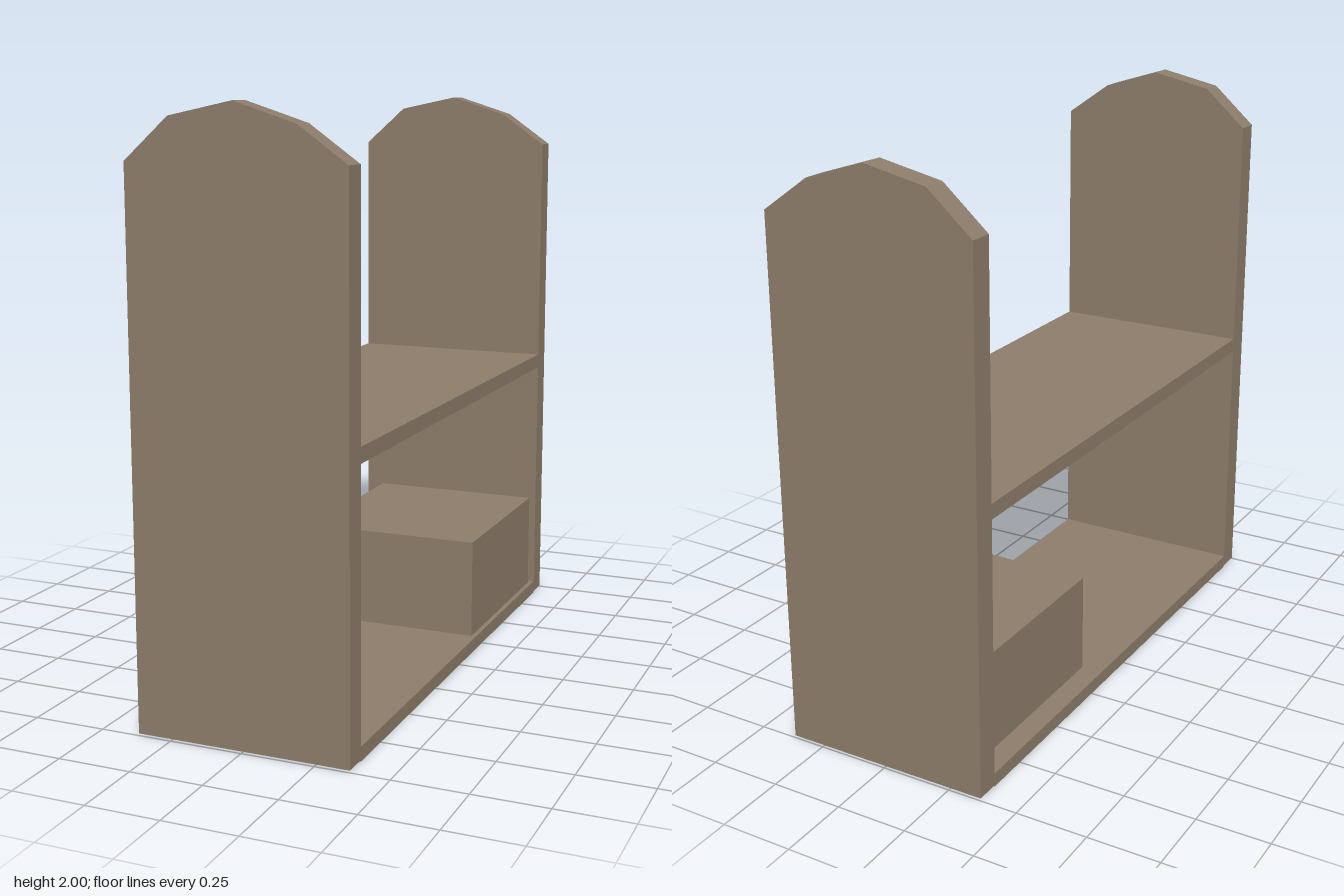
import * as THREE from 'three';

const wood = new THREE.MeshStandardMaterial({ color: 0x8c7c6a, flatShading: true });

const W = 0.735;          // width of the shelf unit (x)
const OUTER = 0.995;      // outer face of the end panels (z)
const PANEL = 0.085;      // end panel thickness

function add(group, name, geometry, x, y, z) {
  const mesh = new THREE.Mesh(geometry, wood);
  mesh.name = name;
  mesh.position.set(x, y, z);
  group.add(mesh);
}

// Box given by its lower and upper corners
function addBox(group, name, [x0, y0, z0], [x1, y1, z1]) {
  add(group, name, new THREE.BoxGeometry(x1 - x0, y1 - y0, z1 - z0),
    (x0 + x1) / 2, (y0 + y1) / 2, (z0 + z1) / 2);
}

export function createModel() {
  const model = new THREE.Group();
  model.name = 'shelfUnit';
  const h = W / 2, inner = OUTER - PANEL;

  // End panels with a faceted, slightly uneven arched top
  const outline = [[-h, 0.005], [h, 0.005], [h, 1.82], [0.205, 1.935], [0, 2], [-0.215, 1.955], [-h, 1.82]];
  const shape = new THREE.Shape(outline.map(([x, y]) => new THREE.Vector2(x, y)));
  const panel = new THREE.ExtrudeGeometry(shape, { depth: PANEL, bevelEnabled: false });
  add(model, 'frontPanel', panel, 0, 0, inner);
  add(model, 'backPanel', panel, 0, 0, -OUTER);

  // Horizontal boards between the panels
  addBox(model, 'bottomBoard', [-h, 0, -inner], [h, 0.048, inner]);
  addBox(model, 'middleShelf', [-h, 0.938, -inner], [h, 0.99, inner]);

  // Lidded storage box on the bottom board
  const storage = new THREE.Group();
  storage.name = 'storageBox';
  addBox(storage, 'boxBody', [-0.29, 0.048, -0.884], [0.35, 0.35, -0.177]);
  addBox(storage, 'boxLid', [-0.29, 0.35, -0.884], [0.35, 0.404, -0.177]);
  model.add(storage);

  return model;
}
